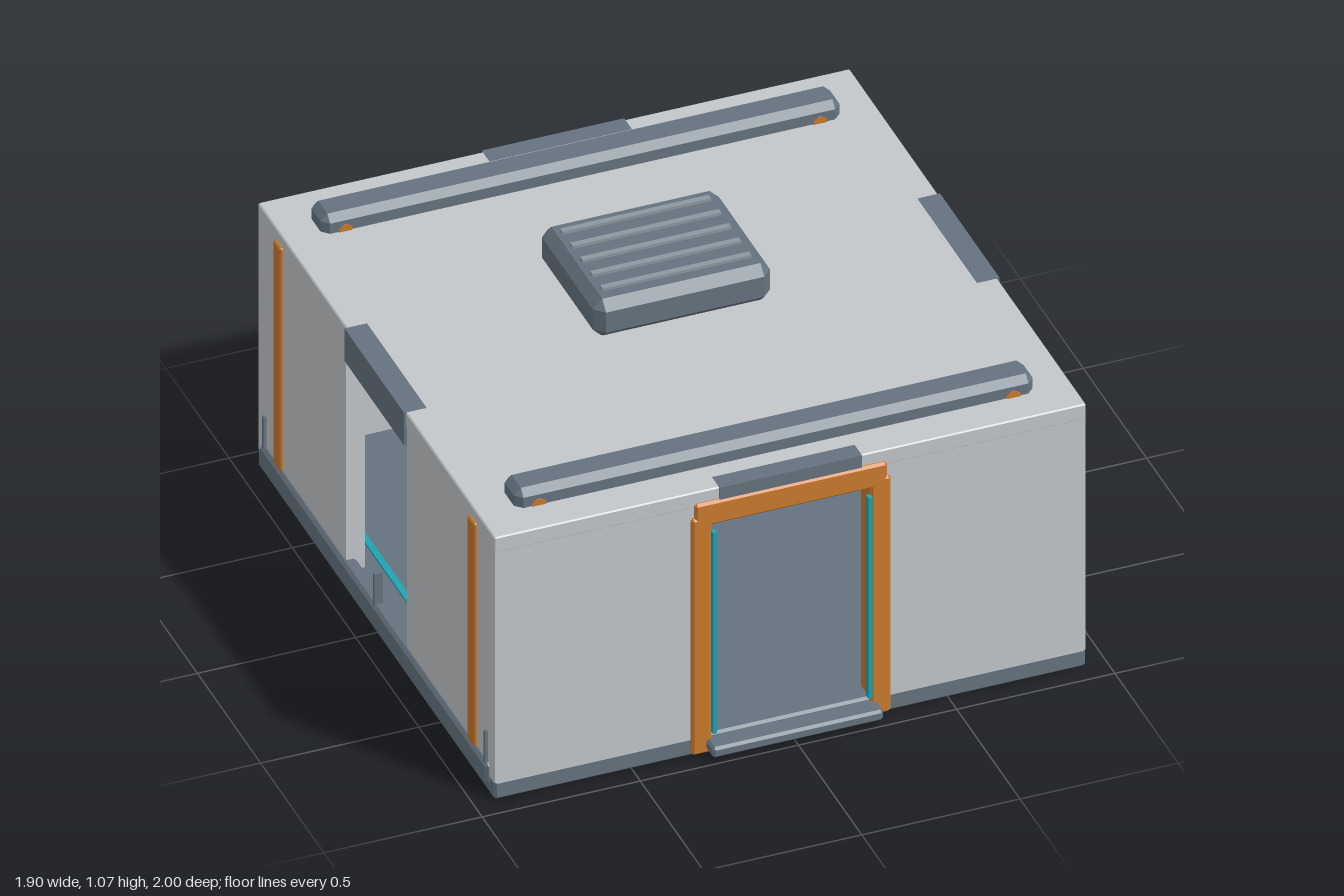
import * as THREE from 'three';
import { ConvexGeometry } from 'three/addons/geometries/ConvexGeometry.js';

const mat = (name, color) => {
  const m = new THREE.MeshStandardMaterial({ color });
  m.name = name;
  return m;
};

export function createModel() {
  const panel = mat('light grey panel', 0xc3c7ca);
  const steel = mat('blue grey steel', 0x65737f);
  const slatGrey = mat('slat grey', 0x8b979f);
  const orange = mat('orange trim', 0xcb7a2e);
  const cyan = mat('cyan light', 0x1fa3b3);
  const model = new THREE.Group();
  model.name = 'roomModule';

  const add = (name, geometry, material) => {
    const mesh = new THREE.Mesh(geometry, material);
    mesh.name = name;
    model.add(mesh);
    return mesh;
  };

  // Plain box given by its lower and upper limits on each axis
  const box = (name, material, x0, x1, y0, y1, z0, z1) => {
    const mesh = add(name, new THREE.BoxGeometry(x1 - x0, y1 - y0, z1 - z0), material);
    mesh.position.set((x0 + x1) / 2, (y0 + y1) / 2, (z0 + z1) / 2);
    return mesh;
  };

  // Box with every edge chamfered by c
  const chamfered = (name, material, x0, x1, y0, y1, z0, z1, c) => {
    const h = [(x1 - x0) / 2, (y1 - y0) / 2, (z1 - z0) / 2];
    const points = [];
    for (const sx of [-1, 1]) for (const sy of [-1, 1]) for (const sz of [-1, 1]) {
      for (let axis = 0; axis < 3; axis++) {
        const p = h.map((v, i) => (i === axis ? v : v - c));
        points.push(new THREE.Vector3(sx * p[0], sy * p[1], sz * p[2]));
      }
    }
    const mesh = add(name, new ConvexGeometry(points), material);
    mesh.position.set((x0 + x1) / 2, (y0 + y1) / 2, (z0 + z1) / 2);
    return mesh;
  };

  // Same as the helpers above, but reflected to the signs sx and sz
  const span = (s, a, b) => (s > 0 ? [a, b] : [-b, -a]);

  // Floor and roof slabs
  chamfered('floorSlab', steel, -0.935, 0.935, 0, 0.065, -0.935, 0.935, 0.008);
  chamfered('roofSlab', panel, -0.935, 0.935, 0.88, 0.935, -0.935, 0.935, 0.004);

  // Wall panels either side of the four openings, and corner posts
  for (const sx of [-1, 1]) for (const sz of [-1, 1]) {
    box('endWall', panel, ...span(sx, 0.26, 0.933), 0.06, 0.9, ...span(sz, 0.875, 0.933));
    box('sideWall', panel, ...span(sx, 0.875, 0.934), 0.06, 0.9, ...span(sz, 0.24, 0.932));
    box('cornerPost', orange, ...span(sx, 0.84, 0.92), 0.003, 0.932, ...span(sz, 0.84, 0.92));
    chamfered('sideStripe', orange, ...span(sx, 0.92, 0.944), 0.1, 0.897, ...span(sz, 0.738, 0.795), 0.005);
  }

  // Front and back doorways
  for (const s of [-1, 1]) {
    box('doorHeader', steel, -0.225, 0.225, 0.82, 0.936, ...span(s, 0.88, 0.94));
    chamfered('doorFrameTop', orange, -0.304, 0.304, 0.812, 0.895, ...span(s, 0.86, 0.946), 0.008);
    for (const sx of [-1, 1]) {
      chamfered('doorJamb', orange, ...span(sx, 0.25, 0.315), 0.004, 0.845, ...span(s, 0.86, 0.946), 0.008);
      const z = s > 0 ? 0.945 : -0.895;
      box('doorLight', cyan, ...span(sx, 0.239, 0.252), 0.075, 0.79, z - 0.01, z + 0.01);
    }
    chamfered('threshold', steel, -0.27, 0.27, 0.018, 0.055, ...span(s, 0.87, 1), 0.008);
  }

  // Side openings: header, bumper sill, fins and floor light
  for (const s of [-1, 1]) {
    box('sideHeader', steel, ...span(s, 0.87, 0.941), 0.82, 0.936, -0.235, 0.235);
    box('sideHeaderFill', panel, ...span(s, 0.875, 0.93), 0.83, 0.9, -0.24, 0.24);
    chamfered('sideBumper', steel, ...span(s, 0.9, 0.948), 0.03, 0.105, -0.895, 0.895, 0.01);
    for (const z of [-0.875, 0, 0.875])
      box('bumperFin', steel, ...span(s, 0.915, 0.943), 0.09, 0.213, z - 0.006, z + 0.006);
    box('floorLight', cyan, ...span(s, 0.81, 0.83), 0.06, 0.072, -0.8, 0.8);
  }

  // Roof rails with orange clamp pins
  for (const s of [-1, 1]) {
    chamfered('roofRail', steel, -0.82, 0.82, 0.89, 0.993, ...span(s, 0.706, 0.822), 0.022);
    for (const x of [-0.75, 0.75]) {
      const pin = add('railPin', new THREE.CylinderGeometry(0.024, 0.024, 0.124, 6), orange);
      pin.rotation.x = Math.PI / 2;
      pin.position.set(x, 0.935, s * 0.764);
    }
  }

  // Roof vent with slats
  chamfered('ventHousing', steel, -0.28, 0.28, 0.93, 1.062, -0.358, 0.104, 0.03);
  for (let i = 0; i < 5; i++) {
    const z = -0.287 + i * 0.079;
    box('ventSlat', slatGrey, -0.235, 0.235, 1.05, 1.072, z - 0.01, z + 0.01);
  }

  return model;
}
